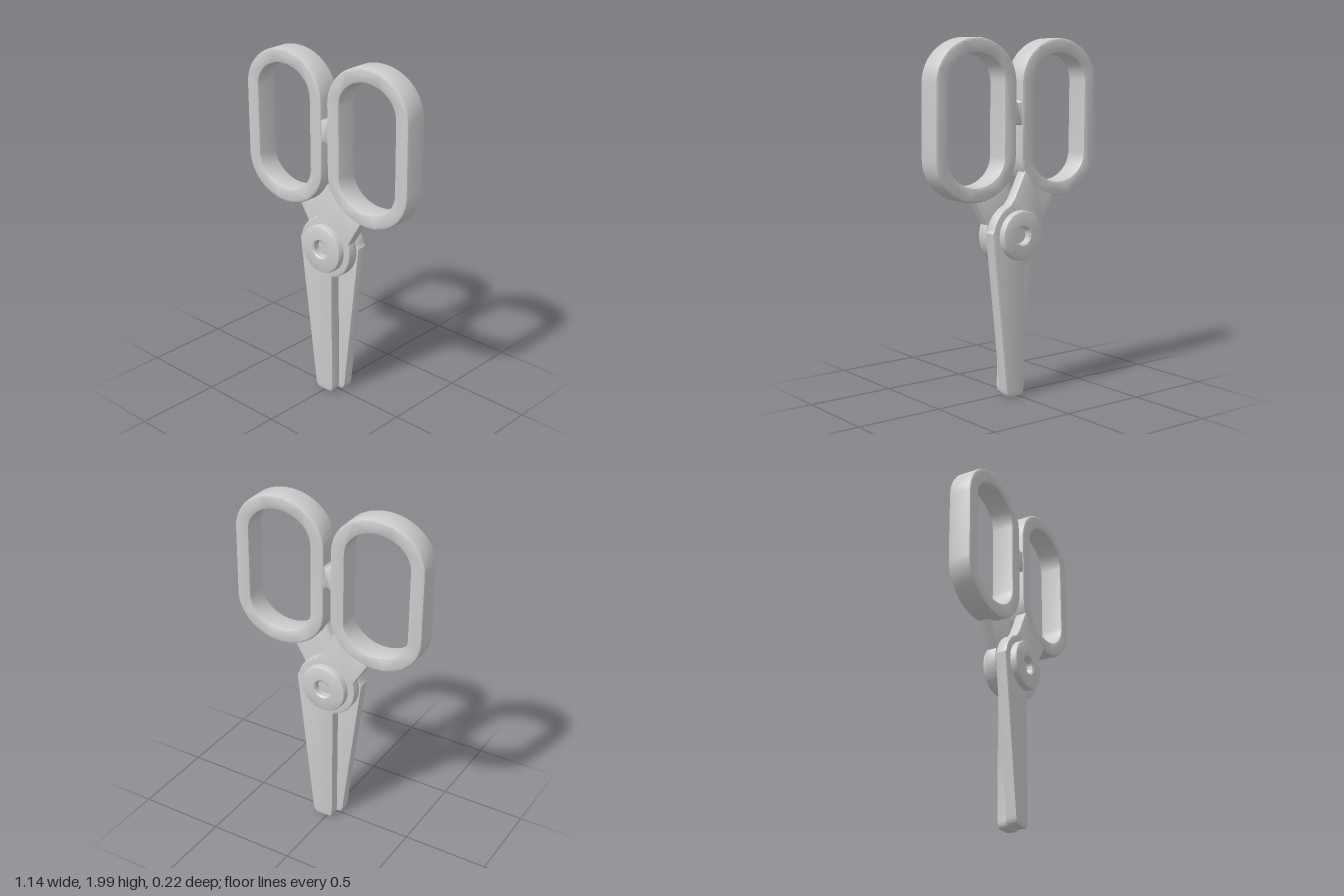
import * as THREE from 'three';
import { toCreasedNormals } from 'three/addons/utils/BufferGeometryUtils.js';

const material = new THREE.MeshStandardMaterial({ color: 0xcccccc });
const PIVOT_Y = 0.92;
const HALF_DEPTH = 0.069;

function addMesh(parent, name, geometry) {
  const mesh = new THREE.Mesh(toCreasedNormals(geometry, 0.55), material);
  mesh.name = name;
  parent.add(mesh);
  return mesh;
}

// Bevelled slab between z0 and z1 that keeps the drawn outline
function slab(shape, z0, z1, bevel) {
  const geometry = new THREE.ExtrudeGeometry(shape, {
    depth: z1 - z0 - 2 * bevel,
    bevelThickness: bevel,
    bevelSize: bevel,
    bevelOffset: -bevel,
    bevelSegments: 2,
    curveSegments: 14,
  });
  return geometry.translate(0, 0, z0 + bevel);
}

// Upright oval with straight sides, used for the handle and its opening
function oval(PathType, rx, ry) {
  const cx = 0.293;
  const path = new PathType();
  path.absellipse(cx, 1.757, rx, ry, 0, Math.PI);
  path.absellipse(cx, 1.358, rx, ry, Math.PI, 2 * Math.PI);
  path.closePath();
  return path;
}

// Neck, pivot disc and blade in a single outline
function bladeShape() {
  const rad = THREE.MathUtils.degToRad;
  const s = new THREE.Shape();
  s.moveTo(-0.045, 0.005);
  s.lineTo(0.02, 0.005);
  s.quadraticCurveTo(0.046, 0.005, 0.046, 0.045);
  s.lineTo(0.046, 0.74);
  s.absarc(0, PIVOT_Y, 0.178, rad(-74), rad(20), false);
  s.lineTo(0.255, 1.125);
  s.lineTo(0.225, 1.16);
  s.lineTo(0.11, 1.228);
  s.lineTo(0.07, 1.31);
  s.lineTo(0.044, 1.27);
  s.lineTo(-0.03, 1.125);
  s.absarc(0, PIVOT_Y, 0.178, rad(110), rad(168), false);
  s.lineTo(-0.186, 0.94);
  s.lineTo(-0.08, 0.045);
  s.quadraticCurveTo(-0.075, 0.005, -0.045, 0.005);
  return s;
}

function createHalf(name) {
  const half = new THREE.Group();
  half.name = name;

  addMesh(half, 'blade', slab(bladeShape(), 0.001, HALF_DEPTH - 0.001, 0.009));

  // Finger loop spans the full thickness
  const loop = oval(THREE.Shape, 0.273, 0.24);
  loop.holes.push(oval(THREE.Path, 0.189, 0.158));
  addMesh(half, 'handle', slab(loop, -HALF_DEPTH, HALF_DEPTH, 0.014));

  // Round pivot cap with a recessed centre
  const profile = [
    [0.138, 0.05], [0.138, 0.096], [0.134, 0.104], [0.126, 0.108],
    [0.056, 0.108], [0.048, 0.101], [0.046, 0.06], [0, 0.06],
  ].map(([r, h]) => new THREE.Vector2(r, h));
  const cap = new THREE.LatheGeometry(profile, 40).rotateX(Math.PI / 2);
  addMesh(half, 'pivotCap', cap).position.y = PIVOT_Y;
  return half;
}

// Small web joining the two handles, flared at both ends
function bridgeShape() {
  const s = new THREE.Shape();
  s.moveTo(-0.03, 1.51);
  s.quadraticCurveTo(0, 1.56, 0.03, 1.51);
  s.lineTo(0.03, 1.67);
  s.quadraticCurveTo(0, 1.62, -0.03, 1.67);
  s.closePath();
  return s;
}

export function createModel() {
  const model = new THREE.Group();
  model.name = 'scissors';

  // Two identical halves, back to back
  const front = createHalf('frontHalf');
  const back = createHalf('backHalf');
  back.rotation.y = Math.PI;
  model.add(front, back);

  addMesh(model, 'handleBridge', slab(bridgeShape(), -0.062, 0.062, 0.004));

  // The pair leans and turns very slightly
  model.rotation.set(0, 0.032, 0.009);
  model.position.set(0.011, 0, -0.005);
  return model;
}
